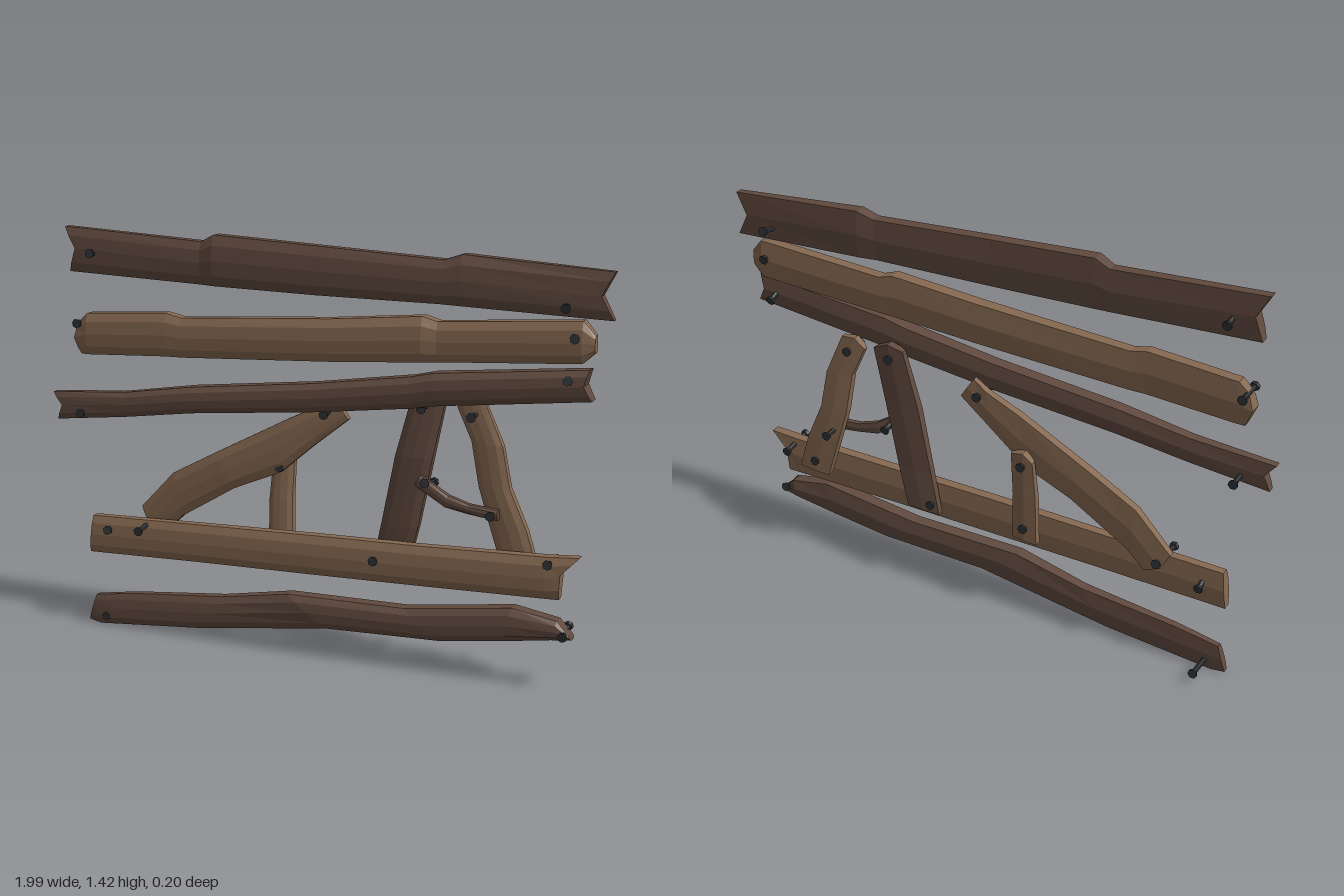
import * as THREE from 'three';

const material = (color) => new THREE.MeshStandardMaterial({ color, flatShading: true, roughness: 1 });

// Plank cross-section: [across, depth], back face first, chamfered front
const PROFILE = [[0, .1], [.5, 0], [1, .1], [1, .75], [.8, .95], [.5, 1], [.2, .95], [0, .75]];

// Loft through stations [lowX, lowY, highX, highY, zBack, zFront].
// notch = how far the middle of the start and end is cut in (negative = pointed).
function plank(name, mat, stations, notch = [0, 0]) {
  const n = PROFILE.length, last = stations.length - 1;
  const pos = [], idx = [];
  stations.forEach(([lx, ly, hx, hy, zb, zf], k) => {
    const cut = k === 0 ? notch[0] : k === last ? -notch[1] : 0;
    const len = Math.hypot(hx - lx, hy - ly);
    const dx = (hy - ly) / len, dy = -(hx - lx) / len;
    const put = (t, s) => {
      const c = cut * (1 - Math.abs(2 * t - 1));
      pos.push(lx + (hx - lx) * t + dx * c, ly + (hy - ly) * t + dy * c, zb + (zf - zb) * s);
    };
    PROFILE.forEach(([t, s]) => put(t, s));
    if (k === 0 || k === last) put(.5, .5);
  });
  // Ring starts, allowing for the cap centre stored after the first ring
  const start = (k) => k * n + (k > 0 ? 1 : 0);
  for (let k = 0; k < last; k++) {
    for (let i = 0; i < n; i++) {
      const j = (i + 1) % n, a = start(k), b = start(k + 1);
      idx.push(a + i, a + j, b + j, a + i, b + j, b + i);
    }
  }
  const e = start(last);
  for (let i = 0; i < n; i++) {
    const j = (i + 1) % n;
    idx.push(n, j, i, e + n, e + i, e + j);
  }
  const indexed = new THREE.BufferGeometry();
  indexed.setAttribute('position', new THREE.Float32BufferAttribute(pos, 3));
  indexed.setIndex(idx);
  const geo = indexed.toNonIndexed();
  geo.computeVertexNormals();
  const mesh = new THREE.Mesh(geo, mat);
  mesh.name = name;
  return mesh;
}

// Nail with a flared head at each end, tilted by dy from back to front
function nail(mat, x, y, zBack, zFront, dy = 0) {
  const g = new THREE.Group();
  g.name = 'nail';
  const len = zFront - zBack;
  const shaft = new THREE.Mesh(new THREE.CylinderGeometry(.009, .009, len, 6), mat);
  shaft.name = 'nailShaft';
  g.add(shaft);
  for (const side of [-1, 1]) {
    const head = new THREE.Mesh(new THREE.CylinderGeometry(.017, .014, .012, 7), mat);
    head.name = 'nailHead';
    head.position.y = side * (len / 2 - .006);
    if (side < 0) head.rotation.x = Math.PI;
    g.add(head);
  }
  g.position.set(x, y - dy / 2, (zBack + zFront) / 2);
  g.rotation.x = Math.PI / 2 - Math.atan2(dy, len);
  return g;
}

export function createModel() {
  const group = new THREE.Group();
  group.name = 'brokenFence';
  const dark = material(0x614a3f), light = material(0x856850), iron = material(0x2e3236);

  // Horizontal rails
  group.add(
    plank('topRail', dark, [
      [-.93, 1.275, -.945, 1.43, -.02, .03],
      [-.42, 1.255, -.42, 1.40, -.02, .04],
      [-.37, 1.253, -.37, 1.425, -.02, .05],
      [0, 1.243, 0, 1.405, -.015, .05],
      [.43, 1.238, .44, 1.38, -.015, .05],
      [.50, 1.235, .50, 1.40, -.02, .05],
      [.99, 1.215, .99, 1.367, -.01, .03]], [.035, .04]),
    plank('upperRail', light, [
      [-.90, .985, -.905, 1.10, -.03, .02],
      [-.87, .985, -.87, 1.13, -.03, .03],
      [-.56, 1.0, -.56, 1.15, -.02, .04],
      [-.50, 1.0, -.50, 1.137, -.02, .04],
      [.05, 1.025, .05, 1.168, -.02, .05],
      [.37, 1.045, .37, 1.195, -.02, .05],
      [.42, 1.048, .42, 1.18, -.02, .04],
      [.895, 1.075, .895, 1.21, -.02, .04],
      [.935, 1.11, .935, 1.165, -.01, .03]], [-.02, 0]),
    plank('middleRail', dark, [
      [-.985, .75, -1, .847, .01, .05],
      [-.71, .78, -.71, .867, .005, .06],
      [-.45, .815, -.45, .906, 0, .07],
      [0, .855, 0, .952, 0, .07],
      [.34, .895, .34, 1.0, 0, .075],
      [.42, .91, .42, 1.018, 0, .08],
      [.94, .965, .93, 1.065, .01, .08]], [.03, .02]),
    plank('lowerRail', light, [
      [-.875, .27, -.86, .405, -.005, .04],
      [-.45, .28, -.45, .415, -.005, .045],
      [0, .287, 0, .425, -.005, .05],
      [.36, .293, .36, .43, -.005, .05],
      [.80, .30, .80, .44, -.01, .045],
      [.845, .30, .91, .447, -.01, .04]], [0, .03]),
    plank('bottomRail', dark, [
      [-.89, .012, -.86, .108, 0, .03],
      [-.84, .005, -.70, .133, 0, .04],
      [-.45, .04, -.35, .167, 0, .055],
      [.05, .11, -.09, .215, .01, .08],
      [.45, .12, .33, .217, .01, .08],
      [.66, .147, .70, .265, .01, .08],
      [.83, .172, .85, .238, .01, .075],
      [.90, .18, .89, .20, .02, .07]]));

  // Broken braces nailed behind the rails
  group.add(
    plank('diagonalBrace', light, [
      [-.60, .36, -.69, .445, -.05, -.012],
      [-.53, .425, -.56, .58, -.05, -.005],
      [-.32, .55, -.39, .67, -.045, .005],
      [-.15, .62, -.12, .81, -.04, .005],
      [-.02, .73, 0, .865, -.04, 0],
      [.10, .825, .05, .90, -.035, -.005]], [-.02, 0]),
    plank('shortBrace', light, [
      [-.11, .34, -.20, .33, -.055, -.015],
      [-.115, .52, -.20, .52, -.065, -.025],
      [-.11, .68, -.19, .66, -.07, -.04]], [0, -.02]),
    plank('uprightBrace', dark, [
      [.31, .335, .185, .33, -.05, -.012],
      [.35, .48, .22, .48, -.04, 0],
      [.40, .72, .27, .72, -.035, .01],
      [.44, .92, .325, .93, -.035, -.002]], [0, -.02]),
    plank('bentBrace', light, [
      [.76, .37, .64, .36, -.055, -.015],
      [.72, .50, .59, .52, -.055, -.01],
      [.66, .64, .555, .64, -.05, -.005],
      [.635, .78, .53, .79, -.04, 0],
      [.57, .93, .48, .90, -.03, -.002]], [0, -.02]),
    plank('splinterBrace', dark, [
      [.345, .63, .365, .665, 0, .022],
      [.45, .565, .46, .605, -.01, .02],
      [.53, .55, .53, .582, -.01, .02],
      [.63, .537, .63, .572, -.01, .02]]));

  // Nails: x, y, back, front, tilt
  const nails = [
    [-.83, 1.345, -.06, .06, .02], [.845, 1.25, -.07, .06, -.025],
    [-.90, 1.095, -.07, .04, 0], [.88, 1.16, -.03, .07, .015],
    [.865, 1.03, -.03, .085, .04], [-.885, .78, -.05, .06, 0],
    [-.79, .365, -.04, .06, .025], [-.645, .385, -.06, .10, -.02],
    [.215, .365, -.06, .06, 0], [.815, .425, -.06, .07, .015],
    [-.815, .035, -.10, .04, -.01], [.875, .195, 0, .09, -.015],
    [.385, .645, -.07, .035, .02], [.61, .555, -.10, .035, 0],
    [.375, .895, -.05, .05, 0], [.545, .88, -.045, .05, 0],
    [.69, .41, -.065, .03, 0], [.03, .845, -.055, .04, 0],
    [-.15, .64, -.08, 0, 0], [-.155, .39, -.07, .03, 0]];
  nails.forEach((n) => group.add(nail(iron, ...n)));
  return group;
}
